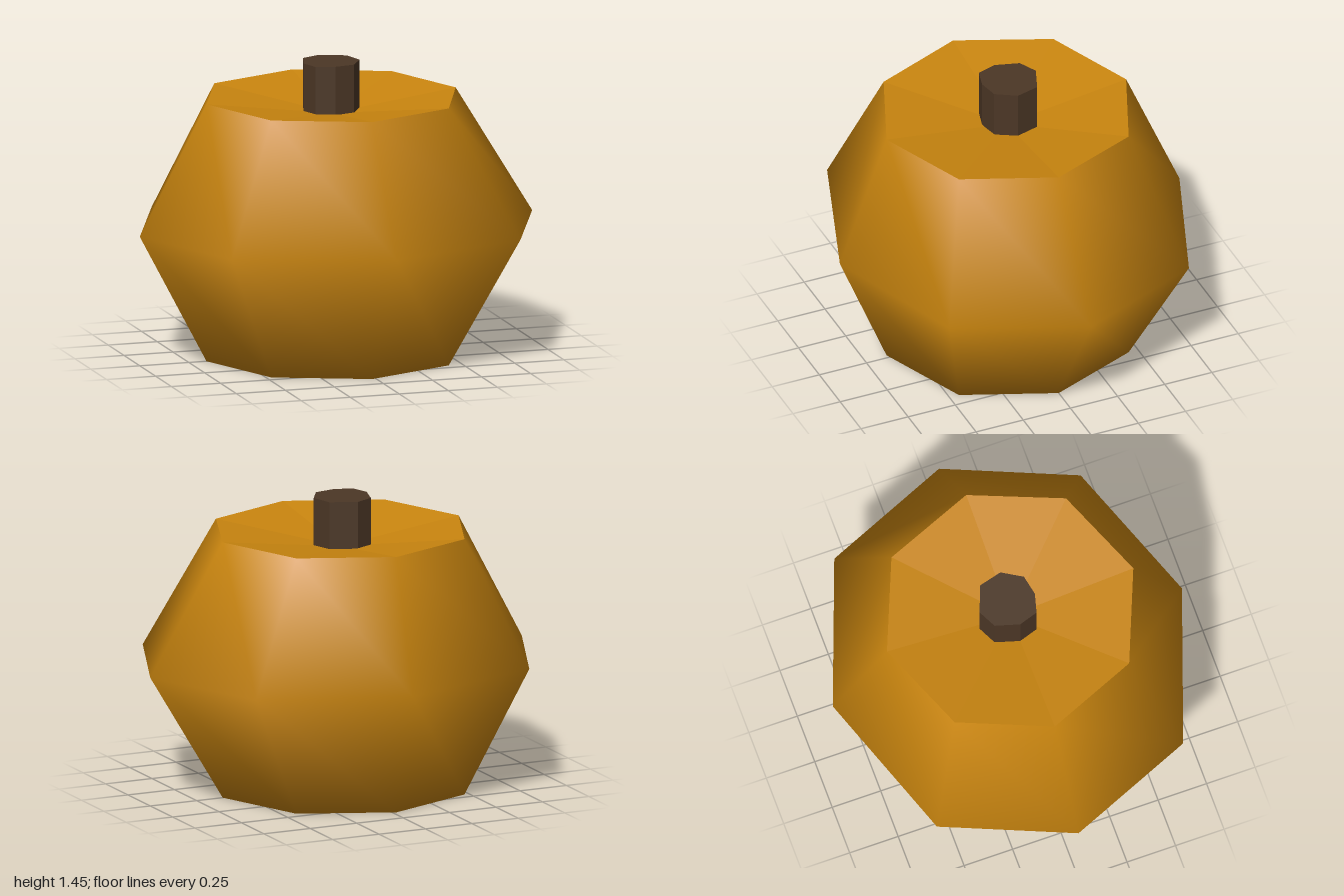
import * as THREE from 'three';

// Outline of eight [x, z] corners, running from -x round the back (-z) to the front
const EQUATOR = [[-1, 0], [-0.735, -0.635], [0.02, -0.9], [0.735, -0.635], [1, 0], [0.735, 0.635], [0.02, 0.9], [-0.735, 0.635]];
const RIM = [[-0.66, 0], [-0.475, -0.45], [-0.02, -0.635], [0.43, -0.45], [0.61, 0], [0.43, 0.45], [-0.02, 0.635], [-0.475, 0.45]];
const STEM = [[-0.165, 0], [-0.13, -0.12], [-0.04, -0.165], [0.09, -0.115], [0.12, 0], [0.06, 0.1], [-0.04, 0.12], [-0.135, 0.095]];

// Skin stacked rings (bottom to top); a ring with one point closes to a tip
function loft(rings, smooth) {
  const positions = [];
  const starts = rings.map(({ outline, y }) => {
    const start = positions.length / 3;
    outline.forEach(([x, z]) => positions.push(x, y, z));
    return start;
  });
  const index = [];
  for (let r = 0; r < rings.length - 1; r++) {
    const na = rings[r].outline.length, nb = rings[r + 1].outline.length;
    const n = Math.max(na, nb);
    for (let i = 0; i < n; i++) {
      const j = (i + 1) % n;
      const a = starts[r] + i % na, b = starts[r] + j % na;
      const c = starts[r + 1] + j % nb, d = starts[r + 1] + i % nb;
      if (na > 1) index.push(a, c, b);
      if (nb > 1) index.push(a, d, c);
    }
  }
  let geometry = new THREE.BufferGeometry();
  geometry.setAttribute('position', new THREE.Float32BufferAttribute(positions, 3));
  geometry.setIndex(index);
  if (!smooth) geometry = geometry.toNonIndexed();
  geometry.computeVertexNormals();
  return geometry;
}

export function createModel() {
  const orange = new THREE.MeshStandardMaterial({ color: 0xc9850f });
  const brown = new THREE.MeshStandardMaterial({ color: 0x4c3726 });

  const model = new THREE.Group();
  model.name = 'pumpkin';
  const add = (name, geometry, material) => {
    const mesh = new THREE.Mesh(geometry, material);
    mesh.name = name;
    model.add(mesh);
  };

  // Smooth shell with a slightly hollow underside
  add('body', loft([
    { outline: [[-0.02, 0]], y: 0.08 },
    { outline: RIM, y: 0 },
    { outline: EQUATOR, y: 0.64 },
    { outline: RIM, y: 1.275 },
  ], true), orange);

  // Faceted hollow around the stem
  add('topHollow', loft([
    { outline: RIM, y: 1.275 },
    { outline: [[-0.02, 0]], y: 1.19 },
  ], false), orange);

  // Faceted stem, sunk into the hollow
  add('stem', loft([
    { outline: STEM, y: 1.17 },
    { outline: STEM, y: 1.445 },
    { outline: [[-0.02, -0.02]], y: 1.445 },
  ], false), brown);

  return model;
}
